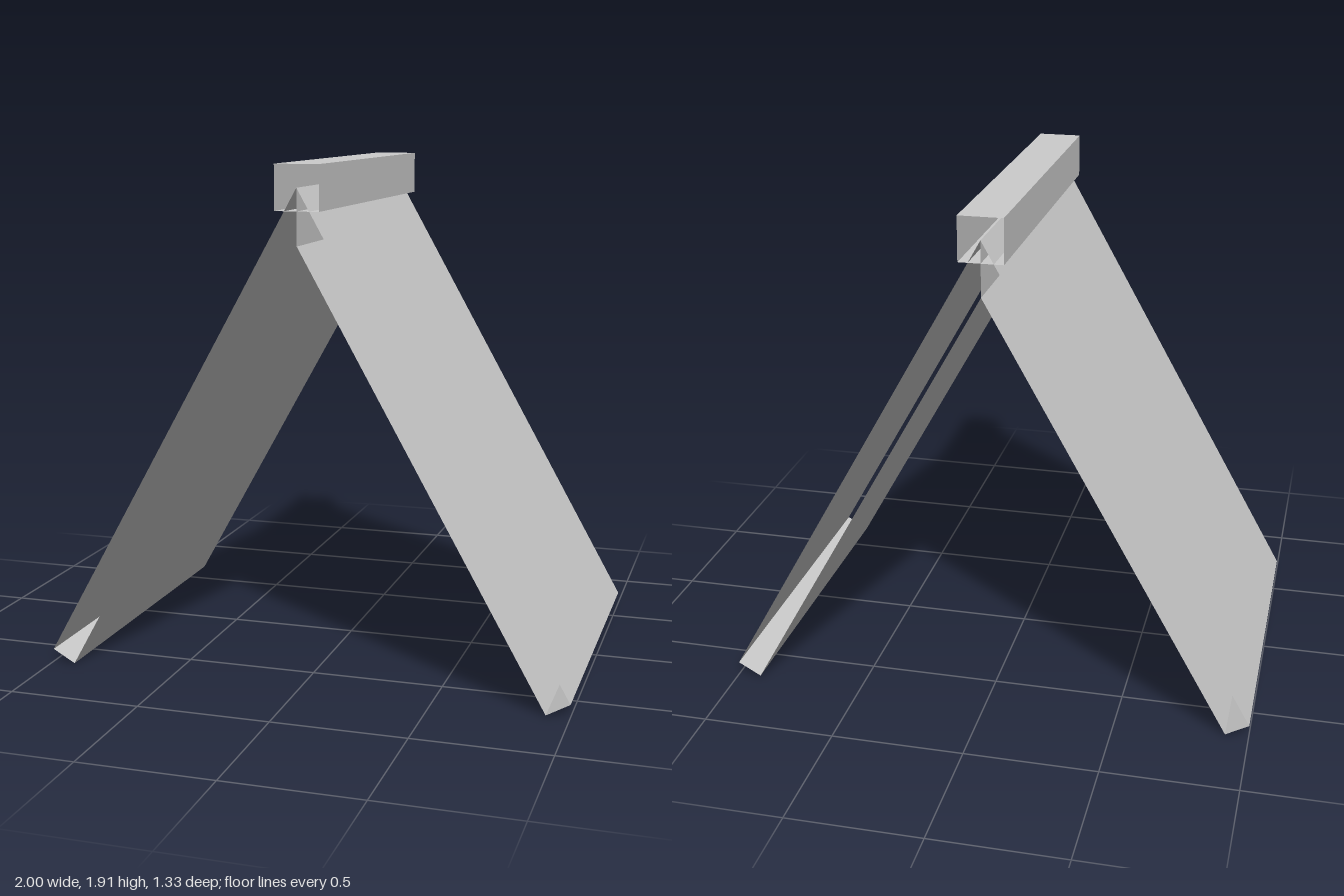
import * as THREE from 'three';

const DEPTH = 1.333;

// Open-ended prism: runs a closed counter-clockwise outline along z, with no end caps
function openPrism(name, outline, material) {
  const h = DEPTH / 2;
  const pos = [];
  outline.forEach(([x0, y0], i) => {
    const [x1, y1] = outline[(i + 1) % outline.length];
    pos.push(x0, y0, h, x0, y0, -h, x1, y1, -h);
    pos.push(x0, y0, h, x1, y1, -h, x1, y1, h);
  });
  const geometry = new THREE.BufferGeometry();
  geometry.setAttribute('position', new THREE.Float32BufferAttribute(pos, 3));
  // corners wind so that the outside of the prism is the front
  const p = geometry.attributes.position;
  for (let t = 0; t < p.count; t += 3) {
    const b = new THREE.Vector3().fromBufferAttribute(p, t + 1);
    const c = new THREE.Vector3().fromBufferAttribute(p, t + 2);
    p.setXYZ(t + 1, c.x, c.y, c.z);
    p.setXYZ(t + 2, b.x, b.y, b.z);
  }
  geometry.computeVertexNormals();
  const mesh = new THREE.Mesh(geometry, material);
  mesh.name = name;
  return mesh;
}

export function createModel() {
  const group = new THREE.Group();
  group.name = 'gableRoof';
  const material = new THREE.MeshStandardMaterial({
    color: 0xcccccc, flatShading: true, side: THREE.DoubleSide,
  });

  // Sloping panels, square at the eaves and mitred where they meet at x = 0
  const slope = [[0.913, 0], [1, 0.049], [0, 1.83], [0, 1.626]];
  const mirrored = slope.map(([x, y]) => [-x, y]).reverse();
  group.add(openPrism('leftRoofPanel', slope, material));
  group.add(openPrism('rightRoofPanel', mirrored, material));

  // Square ridge beam centred on the apex
  const r = 0.082, y = 1.83;
  group.add(openPrism('ridgeBeam',
    [[-r, y - r], [r, y - r], [r, y + r], [-r, y + r]], material));

  return group;
}
